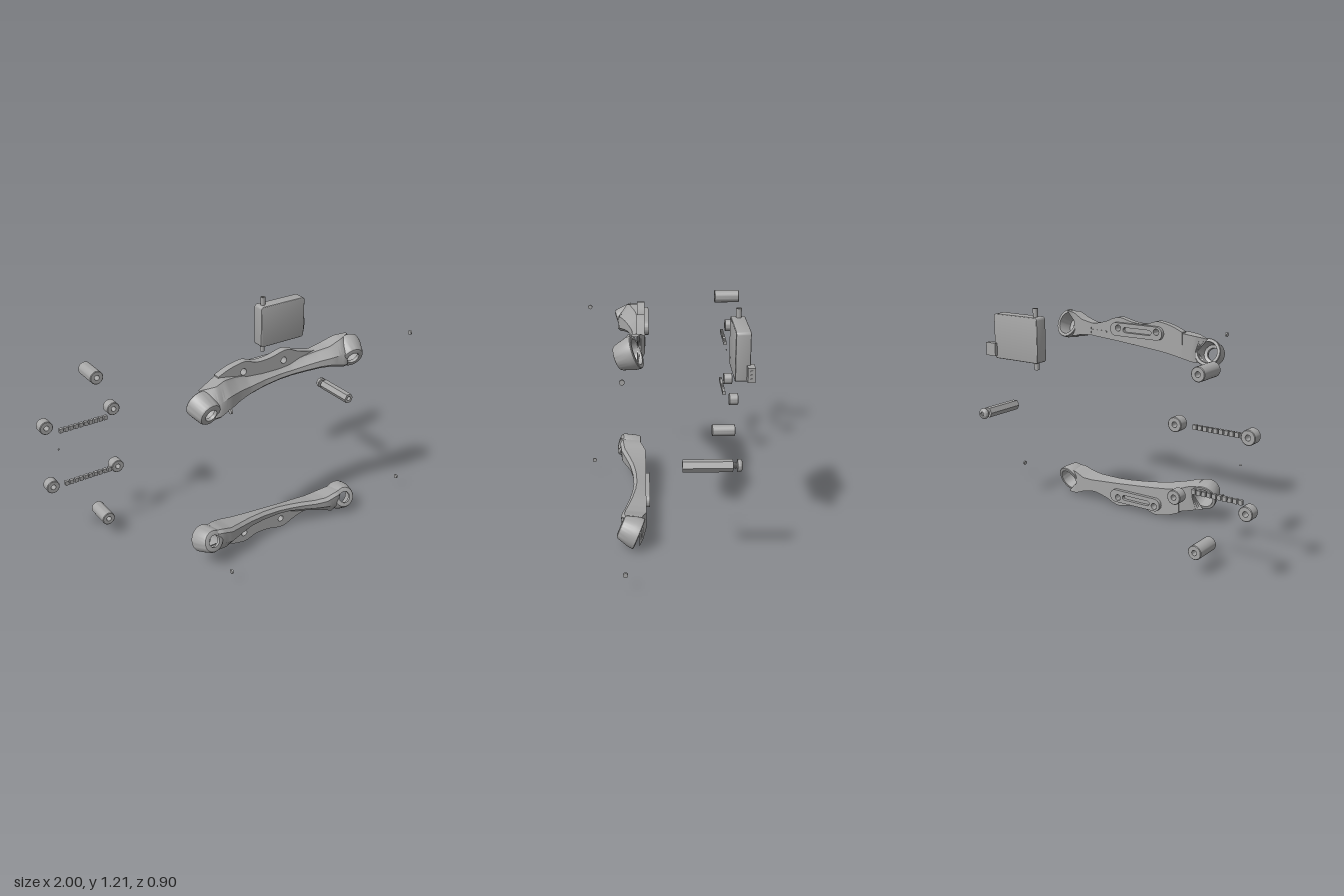
import * as THREE from 'three';
import { toCreasedNormals } from 'three/addons/utils/BufferGeometryUtils.js';

const grey = new THREE.MeshStandardMaterial({ color: 0xa6a6a6 });
grey.name = 'plain grey';

function add(parent, name, geometry, x = 0, y = 0, z = 0) {
  const mesh = new THREE.Mesh(geometry, grey);
  mesh.name = name;
  mesh.position.set(x, y, z);
  parent.add(mesh);
  return mesh;
}
const lathe = (pts, n = 40) => toCreasedNormals(
  new THREE.LatheGeometry(pts.map(p => new THREE.Vector2(p[0], p[1])), n), 0.5);

// tube with a bore, running along z and centred on the origin
function tube(outer, bore, length) {
  const h = length / 2, c = 0.003;
  return lathe([[bore, -h], [outer - c, -h], [outer, -h + c], [outer, h - c], [outer - c, h], [bore, h], [bore, -h]], 32)
    .rotateX(Math.PI / 2);
}
function circleHole(x, y, r) {
  return new THREE.Path().absarc(x, y, r, 0, Math.PI * 2, true);
}
function stadium(path, x0, x1, y, r) {
  path.absarc(x1, y, r, -Math.PI / 2, Math.PI / 2, false);
  path.absarc(x0, y, r, Math.PI / 2, Math.PI * 1.5, false);
  path.closePath();
  return path;
}
function plate(shape, depth) {
  return new THREE.ExtrudeGeometry(shape, { depth, bevelEnabled: false, curveSegments: 20 });
}

// end sockets: back centre, front centre, back, front and counterbore radii
const sockets = [
  { back: [-0.378, 0.99, 0.18], front: [-0.365, 0.957, 0.283], rb: 0.075, rf: 0.063, rc: 0.057, side: -1 },
  { back: [0.568, 1.063, 0.168], front: [0.552, 1.025, 0.264], rb: 0.083, rf: 0.062, rc: 0.063, side: 1 },
];
// beam stations: x, bottom, top, back z, front z, front z at the top
const stations = [
  [-0.378, 0.908, 1.058, 0.185, 0.268, 0.2],
  [-0.30, 0.915, 1.073, 0.153, 0.28, 0.235],
  [-0.24, 0.935, 1.085, 0.13, 0.272, 0.22],
  [-0.16, 0.95, 1.07, 0.13, 0.243, 0.19],
  [-0.08, 0.96, 1.052, 0.13, 0.22, 0.175],
  [0.02, 0.97, 1.05, 0.13, 0.203, 0.17],
  [0.125, 0.98, 1.05, 0.13, 0.198, 0.168],
  [0.20, 0.987, 1.053, 0.13, 0.205, 0.172],
  [0.28, 0.993, 1.07, 0.13, 0.22, 0.18],
  [0.36, 1.0, 1.086, 0.13, 0.24, 0.195],
  [0.43, 0.998, 1.1, 0.13, 0.257, 0.215],
  [0.50, 0.98, 1.13, 0.148, 0.262, 0.22],
  [0.568, 0.975, 1.136, 0.168, 0.25, 0.19],
];
function stationAt(x) {
  let i = 0;
  while (i < stations.length - 2 && x > stations[i + 1][0]) i++;
  const a = stations[i], b = stations[i + 1], t = (x - a[0]) / (b[0] - a[0]);
  return a.map((v, k) => v + (b[k] - v) * t);
}

// swept beam whose ends wrap around the sockets, leaving the bores clear
function beamGeometry() {
  const n = 72, pos = [], index = [], x0 = stations[0][0], x1 = stations.at(-1)[0];
  const m = 8;
  for (let i = 0; i <= n; i++) {
    const [x, yb, yt, zb, zf, zt] = stationAt(x0 + (x1 - x0) * i / n);
    const h = yt - yb;
    const loop = [[yb + 0.015, zb], [yb + h * 0.5, zb], [yt, zb], [yt, zt - 0.008], [yt - 0.012, zt],
      [yb + h * 0.55, zf - 0.004], [yb + 0.016, zf], [yb, zf - 0.018]];
    for (const [y, z] of loop) {
      let px = x;
      for (const s of sockets) {
        const t = (z - s.back[2]) / (s.front[2] - s.back[2]);
        const cx = s.back[0] + (s.front[0] - s.back[0]) * t;
        const cy = s.back[1] + (s.front[1] - s.back[1]) * t;
        const r = THREE.MathUtils.lerp(s.rc + 0.007, 0.046, THREE.MathUtils.clamp(t, 0, 1));
        const reach = Math.sqrt(Math.max(0, r * r - (y - cy) ** 2));
        if (reach > 0) px = s.side < 0 ? Math.max(px, cx + reach) : Math.min(px, cx - reach);
      }
      pos.push(px, y, z);
    }
  }
  for (let i = 0; i < n; i++) for (let j = 0; j < m; j++) {
    const a = i * m + j, b = i * m + (j + 1) % m;
    index.push(a, b, a + m, b, b + m, a + m);
  }
  const g = new THREE.BufferGeometry();
  g.setAttribute('position', new THREE.Float32BufferAttribute(pos, 3));
  g.setIndex(index);
  g.computeVertexNormals();
  return toCreasedNormals(g, 0.6);
}

function makeArm(name) {
  const arm = new THREE.Group();
  arm.name = name;
  add(arm, 'beam', beamGeometry());

  // hollow tapered sockets at both ends
  for (const s of sockets) {
    const back = new THREE.Vector3(...s.back);
    const axis = new THREE.Vector3(...s.front).sub(back);
    const L = axis.length(), hole = 0.034;
    const g = lathe([[s.rc, 0], [s.rb - 0.003, 0], [s.rb, 0.004], [s.rb - 0.002, L * 0.3], [s.rf + 0.002, L - 0.014],
      [s.rf - 0.004, L - 0.004], [s.rf - 0.014, L], [hole, L], [hole, L * 0.82], [s.rc - 0.006, L * 0.78], [s.rc, 0]], 48);
    const mesh = add(arm, 'socket', g, ...s.back);
    mesh.quaternion.setFromUnitVectors(new THREE.Vector3(0, 1, 0), axis.normalize());
  }

  // scalloped flange with two screw holes
  const flange = new THREE.Shape();
  flange.moveTo(-0.25, 1.0);
  flange.lineTo(0.43, 1.03);
  flange.lineTo(0.43, 1.097);
  flange.splineThru([[0.38, 1.088], [0.33, 1.087], [0.25, 1.107], [0.205, 1.126], [0.157, 1.134], [0.088, 1.118],
    [0.035, 1.111], [-0.02, 1.113], [-0.06, 1.127], [-0.10, 1.134], [-0.18, 1.118], [-0.25, 1.09]]
    .map(p => new THREE.Vector2(...p)));
  const holes = [-0.097, 0.157];
  flange.holes = holes.map(x => circleHole(x, 1.078, 0.018));
  add(arm, 'flange', toCreasedNormals(plate(flange, 0.04), 0.5), 0, 0, 0.13);

  // raised mounting pad on the back
  const pad = stadium(new THREE.Shape(), -0.097, 0.175, 1.07, 0.037);
  pad.holes = holes.map(x => circleHole(x, 1.078, 0.018));
  pad.holes.push(stadium(new THREE.Path(), -0.05, 0.11, 1.07, 0.014));
  add(arm, 'mountingPad', toCreasedNormals(plate(pad, 0.022), 0.5), 0, 0, 0.109);
  return arm;
}

export function createModel() {
  const model = new THREE.Group();
  model.name = 'armKit';

  const upper = makeArm('upperArm');
  model.add(upper);
  const lower = makeArm('lowerArm');
  lower.scale.y = -1;
  lower.position.set(0.006, 1.152, 0);
  model.add(lower);

  // direction arrow on the back of the upper arm
  const arrow = new THREE.Shape([[0.25, 1.04], [0.36, 1.04], [0.36, 1.028], [0.4, 1.045], [0.36, 1.062], [0.36, 1.05], [0.25, 1.05]]
    .map(p => new THREE.Vector2(...p)));
  add(upper, 'arrow', plate(arrow, 0.003), 0, 0, 0.1275);

  // control box: rounded case, plug and two stub pipes
  const box = new THREE.Group();
  box.name = 'controlBox';
  model.add(box);
  const face = new THREE.Shape(), w = 0.148, h = 0.118, r = 0.012;
  for (const [sx, sy, a] of [[1, 1, 0], [-1, 1, 1], [-1, -1, 2], [1, -1, 3]])
    face.absarc(sx * (w - r), sy * (h - r), r, a * Math.PI / 2, (a + 1) * Math.PI / 2, false);
  const caseGeo = new THREE.ExtrudeGeometry(face, { depth: 0.063, bevelThickness: 0.005, bevelSize: 0.005, bevelSegments: 3 });
  add(box, 'case', toCreasedNormals(caseGeo, 0.5), 0.494, 1.053, -0.362);
  add(box, 'plug', new THREE.BoxGeometry(0.065, 0.071, 0.036), 0.661, 0.98, -0.367);
  for (let i = -1; i <= 1; i++)
    add(box, 'plugPin', new THREE.CylinderGeometry(0.006, 0.006, 0.006, 16).rotateZ(Math.PI / 2), 0.694, 0.98 + i * 0.02, -0.367);
  const pipe = lathe([[0.007, -0.03], [0.014, -0.03], [0.014, 0.03], [0.007, 0.03], [0.007, -0.03]], 24);
  add(box, 'topPipe', pipe, 0.376, 1.192, -0.333);
  add(box, 'bottomPipe', pipe, 0.376, 0.92, -0.333);

  // spacers and notched strips, mirrored above and below
  const longSpacer = tube(0.037, 0.014, 0.148), shortSpacer = tube(0.037, 0.014, 0.056);
  const link = new THREE.BoxGeometry(0.021, 0.024, 0.017);
  for (const s of [1, -1]) {
    add(model, 'longSpacer', longSpacer, -0.695, 0.577 + s * 0.441, -0.372);
    for (const x of [-0.963, -0.572]) add(model, 'shortSpacer', shortSpacer, x, 0.577 + s * 0.183, -0.418);
    const strip = new THREE.Group();
    strip.name = 'linkStrip';
    for (let i = 0; i < 10; i++) add(strip, 'link', link, -0.895 + i * 0.0286, 0.577 + s * 0.163, -0.364);
    model.add(strip);
    // small set screws beside the sockets
    const pin = new THREE.CylinderGeometry(0.012, 0.012, 0.01, 20).rotateZ(Math.PI / 2);
    add(model, 'setScrew', pin, 0.993, 0.58 + s * 0.477, 0.232);
    add(model, 'setScrew', pin, -0.352, 0.568 + s * 0.477, 0.438);
  }
  add(model, 'tinyPin', new THREE.SphereGeometry(0.005, 12, 8), -0.906, 0.61, -0.4);

  // hexagonal standoff with a threaded neck and a domed screw head
  const standoff = new THREE.Group();
  standoff.name = 'standoff';
  standoff.position.set(0.81, 0.575, 0);
  model.add(standoff);
  const hex = new THREE.Shape(Array.from({ length: 6 }, (_, i) =>
    new THREE.Vector2(0.031 * Math.cos(i * Math.PI / 3), 0.031 * Math.sin(i * Math.PI / 3))));
  hex.holes.push(circleHole(0, 0, 0.013));
  add(standoff, 'hexBody', plate(hex, 0.237), 0, 0, -0.277);
  const thread = [[0.0, -0.015]];
  for (let i = 0; i <= 6; i++) thread.push([i % 2 ? 0.016 : 0.012, -0.015 + i * 0.005]);
  add(standoff, 'thread', lathe([...thread, [0, 0.015]], 24).rotateX(Math.PI / 2), 0, 0, -0.288);
  add(standoff, 'screwHead', lathe([[0, 0], [0.029, 0], [0.031, 0.003], [0.031, 0.013], [0.027, 0.02], [0.018, 0.025],
    [0.012, 0.025], [0.012, 0.014], [0, 0.014]], 32).rotateX(-Math.PI / 2), 0, 0, -0.298);
  return model;
}
